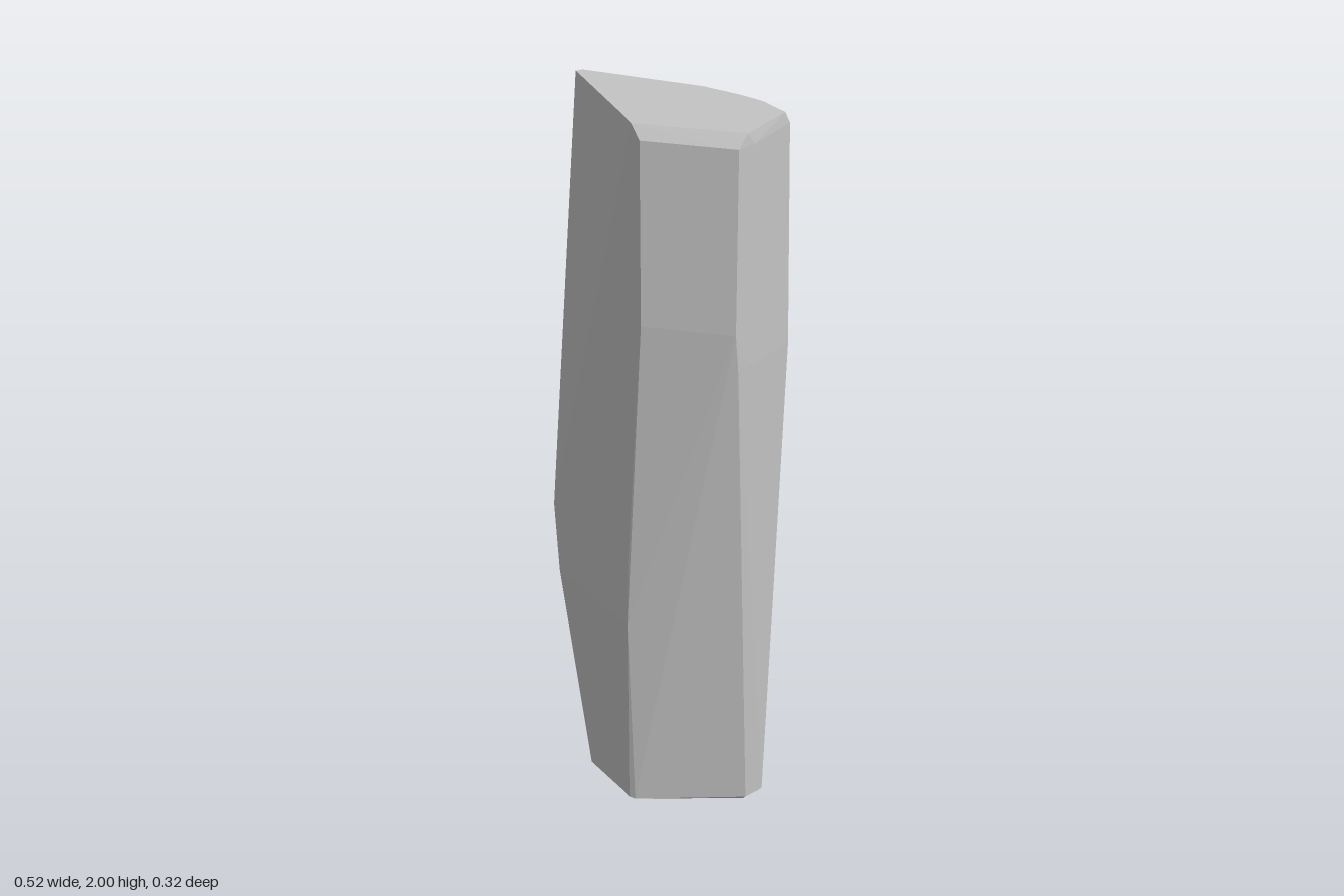
import * as THREE from 'three';
import { ConvexGeometry } from 'three/addons/geometries/ConvexGeometry.js';

// Horizontal outlines of the chipped stone: [height, [x, z], ...]
const sections = [
  // slightly tilted foot
  [0, [-0.17, 0.13], [0.0, 0.132], [0.015, 0.125]],
  [0.008, [-0.11, 0.03], [0.12, -0.115], [0.19, -0.09], [0.17, -0.135]],
  [0.02, [0.2, -0.09], [0.2, -0.144], [0.12, -0.13]],
  // widest part of the left edge
  [0.6, [-0.25, 0.158], [0.035, 0.158]],
  [0.8, [-0.263, 0.147], [-0.263, 0.16], [0.043, 0.16]],
  // broad shoulder
  [1.4, [0.26, 0.008], [0.258, -0.03], [0.233, -0.16], [0.19, -0.157], [0.15, -0.148], [0.11, -0.132], [0.04, -0.09]],
  [1.5, [0.1, 0.16], [0.262, 0.018]],
  // lower rim of the top bevel
  [1.97, [0.1, 0.16], [0.262, 0.018], [0.262, -0.025], [0.234, -0.146], [0.165, -0.138], [0.11, -0.116], [0.03, -0.076]],
  // top face
  [2, [-0.2, 0.11], [0.07, 0.16], [0.26, -0.008], [0.234, -0.132], [0.165, -0.126], [0.11, -0.105], [0.03, -0.066], [-0.195, 0.095]],
];

export function createModel() {
  const stone = new THREE.MeshStandardMaterial({ color: 0xc4c4c4, flatShading: true });
  stone.name = 'pale grey stone';

  const points = sections.flatMap(([y, ...outline]) =>
    outline.map(([x, z]) => new THREE.Vector3(x, y, z)));
  const slab = new THREE.Mesh(new ConvexGeometry(points), stone);
  slab.name = 'stoneSlab';

  const group = new THREE.Group();
  group.name = 'standingStone';
  group.add(slab);
  return group;
}
